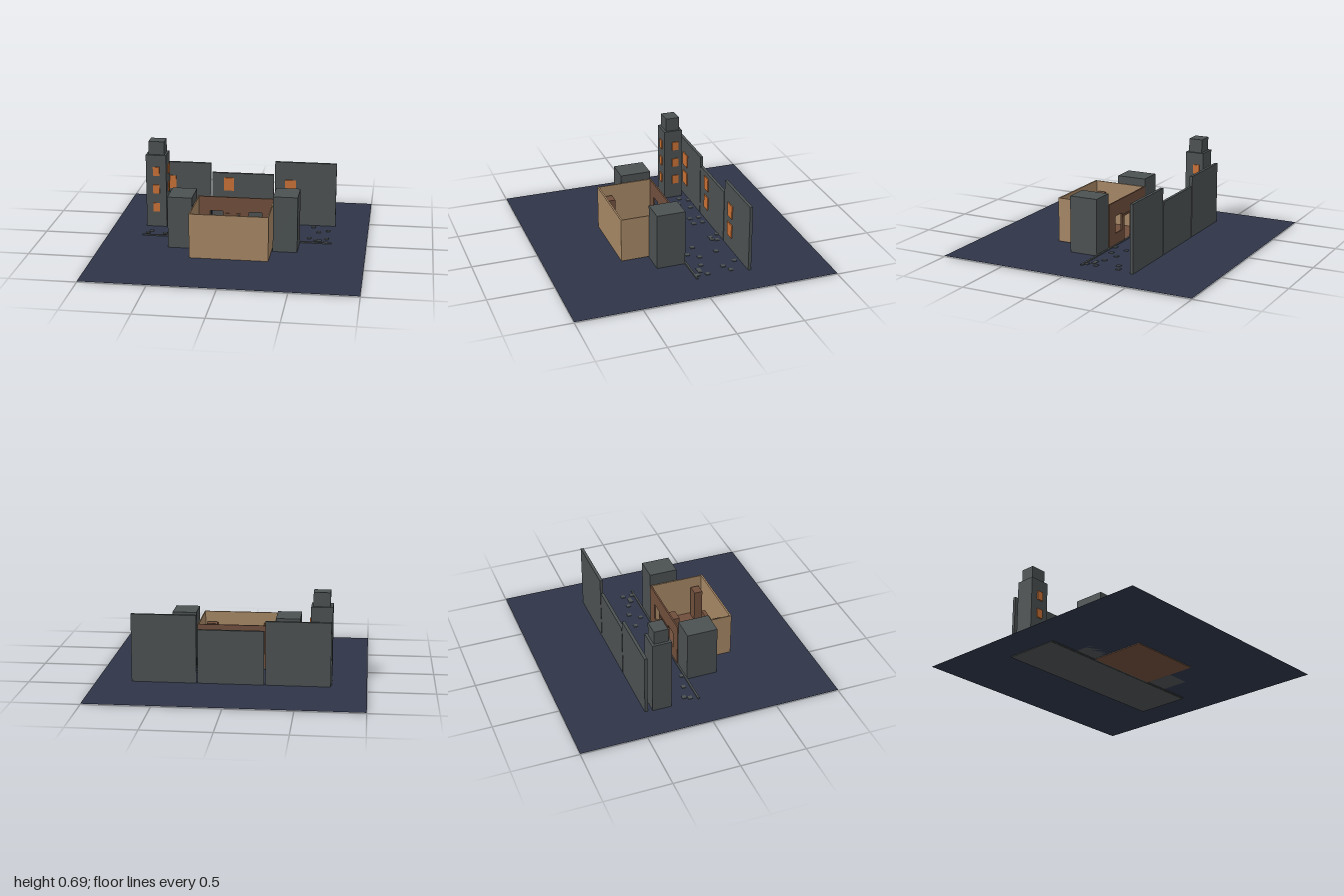
import * as THREE from 'three';

const mat = (name, color, side = THREE.FrontSide) => {
  const m = new THREE.MeshStandardMaterial({ color, side });
  m.name = name;
  return m;
};

export function createModel() {
  const navy = mat('night ground', 0x2e3548, THREE.DoubleSide);
  const grey = mat('slate grey', 0x4b5051);
  const tan = mat('tan plaster', 0xa58664);
  const brown = mat('brown wood', 0x6f4e3c);
  const orange = mat('lit window', 0xc87035);
  const model = new THREE.Group();
  model.name = 'streetSet';

  // Box given by its minimum and maximum along each axis
  const box = (parent, name, material, x0, x1, y0, y1, z0, z1) => {
    const mesh = new THREE.Mesh(new THREE.BoxGeometry(x1 - x0, y1 - y0, z1 - z0), material);
    mesh.position.set((x0 + x1) / 2, (y0 + y1) / 2, (z0 + z1) / 2);
    mesh.name = name;
    parent.add(mesh);
    return mesh;
  };
  const group = (name) => {
    const g = new THREE.Group();
    g.name = name;
    model.add(g);
    return g;
  };

  // Ground sheet, with the street slab just beneath it
  const ground = new THREE.Mesh(new THREE.PlaneGeometry(2, 2).rotateX(-Math.PI / 2), navy);
  ground.position.y = 0.006;
  ground.name = 'ground';
  model.add(ground);

  const street = group('street');
  box(street, 'streetSlab', grey, -0.735, 0.735, 0, 0.005, -0.425, -0.01);
  box(street, 'kerb', grey, -0.735, 0.735, 0.002, 0.015, -0.012, 0.003);

  // Scattered cobbles as x, z pairs
  const cobbles = [
    [-0.48, -0.39], [-0.355, -0.36], [-0.17, -0.36], [-0.085, -0.36], [0.14, -0.39], [0.225, -0.36], [0.57, -0.36],
    [-0.525, -0.325], [-0.44, -0.29], [-0.17, -0.285], [-0.08, -0.285], [0.175, -0.325], [0.21, -0.325],
    [0.39, -0.285], [0.69, -0.285], [-0.46, -0.21], [-0.155, -0.21], [0.62, -0.25], [-0.37, -0.175], [-0.305, -0.175],
    [-0.68, -0.1], [-0.355, -0.1], [-0.305, -0.135], [-0.08, -0.135], [-0.015, -0.135], [0.28, -0.135],
    [0.435, -0.135], [0.555, -0.1], [0.69, -0.1], [-0.7, -0.06], [-0.565, -0.06], [0.375, -0.06], [0.61, -0.06],
    [0.64, -0.06], [-0.44, -0.025], [-0.14, -0.025], [-0.07, -0.025], [0.245, -0.025], [0.685, -0.025],
  ];
  for (const [x, z] of cobbles) {
    box(street, 'cobble', grey, x - 0.016, x + 0.016, 0.004, 0.011, z - 0.016, z + 0.016);
  }

  // Three backdrop house fronts, each with two lit windows
  const houses = [
    [-0.735, -0.255, 0.487, -0.63, -0.535],
    [-0.245, 0.245, 0.412, -0.15, -0.072],
    [0.255, 0.738, 0.52, 0.335, 0.42],
  ];
  for (const [x0, x1, top, w0, w1] of houses) {
    const house = group('houseFront');
    box(house, 'houseWall', grey, x0, x1, 0.006, top, -0.425, -0.402);
    for (const y of [0.162, 0.322]) {
      box(house, 'houseWindow', orange, w0, w1, y - 0.053, y + 0.053, -0.402, -0.394);
    }
  }

  // Tower with windows on its front and its street side
  const tower = group('tower');
  box(tower, 'towerShaft', grey, -0.742, -0.582, 0.006, 0.59, -0.367, -0.22);
  box(tower, 'towerCap', grey, -0.722, -0.598, 0.59, 0.695, -0.348, -0.24);
  for (const y of [0.165, 0.315, 0.46]) {
    box(tower, 'towerFrontWindow', orange, -0.686, -0.635, y - 0.035, y + 0.035, -0.22, -0.212);
    box(tower, 'towerSideWindow', orange, -0.582, -0.574, y - 0.035, y + 0.035, -0.337, -0.285);
  }

  // Solid blocks on either side of the room
  box(model, 'neighbourBlock', grey, -0.487, -0.3, 0.006, 0.406, 0, 0.237);
  box(model, 'neighbourBlock', grey, 0.308, 0.492, 0.006, 0.438, 0, 0.22);

  // Open-topped room
  const room = group('room');
  box(room, 'roomFloor', brown, -0.29, 0.298, 0.002, 0.01, 0, 0.43);
  box(room, 'frontWall', tan, -0.292, 0.298, 0.004, 0.348, 0.42, 0.433);
  box(room, 'sideWall', tan, -0.292, -0.284, 0.004, 0.348, 0.008, 0.42);
  box(room, 'sideWall', tan, 0.29, 0.298, 0.004, 0.348, 0.008, 0.42);

  // Street-facing wall with a door opening and two windows
  const rect = (Type, x0, x1, y0, y1) => new Type([
    new THREE.Vector2(x0, y0), new THREE.Vector2(x1, y0), new THREE.Vector2(x1, y1), new THREE.Vector2(x0, y1),
  ]);
  const wallShape = rect(THREE.Shape, -0.292, 0.298, 0.008, 0.348);
  wallShape.holes.push(
    rect(THREE.Path, -0.055, 0.055, 0.012, 0.205),
    rect(THREE.Path, -0.2, -0.1, 0.1, 0.235),
    rect(THREE.Path, 0.1, 0.2, 0.1, 0.235),
  );
  const wall = new THREE.Mesh(new THREE.ExtrudeGeometry(wallShape, { depth: 0.012, bevelEnabled: false }), brown);
  wall.position.z = -0.004;
  wall.name = 'streetWall';
  room.add(wall);
  box(room, 'doorLintel', brown, -0.08, 0.09, 0.205, 0.22, -0.009, 0.012);

  // Furniture
  box(room, 'cabinet', brown, -0.265, -0.18, 0.01, 0.27, 0.325, 0.39);
  box(room, 'cabinet', brown, 0.185, 0.27, 0.01, 0.27, 0.325, 0.39);
  box(room, 'bench', brown, -0.132, 0.14, 0.01, 0.12, 0.367, 0.397);
  box(room, 'table', brown, 0.122, 0.225, 0.01, 0.11, 0.115, 0.175);
  return model;
}
